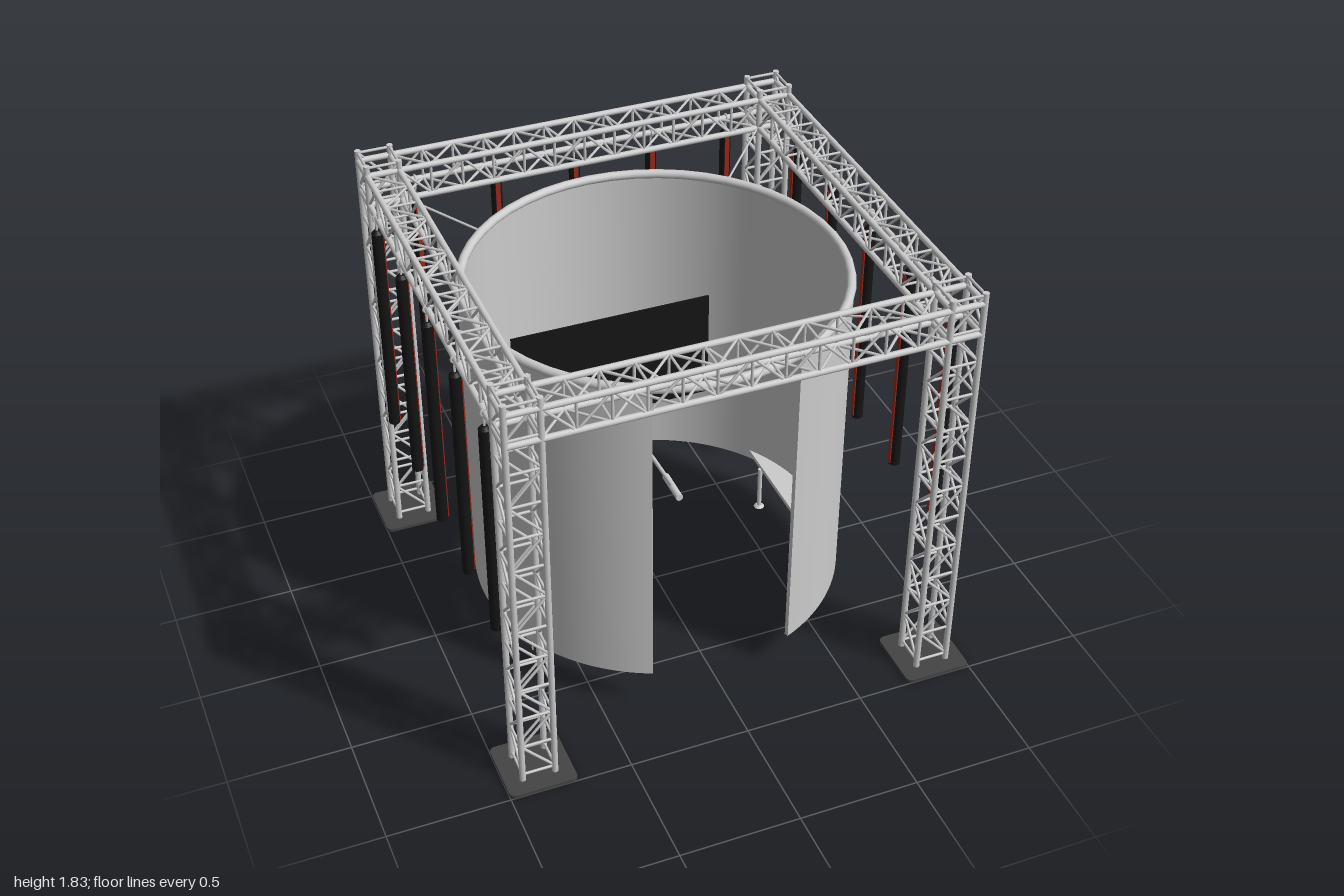
import * as THREE from 'three';
import { mergeGeometries, toCreasedNormals } from 'three/addons/utils/BufferGeometryUtils.js';

const V = (x, y, z) => new THREE.Vector3(x, y, z);
const grey = new THREE.MeshStandardMaterial({ color: 0xcccccc });
const paint = (color) => new THREE.MeshStandardMaterial({ color });
const dark = paint(0x444444), black = paint(0x151515), red = paint(0x9a2a1c);

function add(parent, name, geometry, material = grey, x = 0, y = 0, z = 0) {
  const mesh = new THREE.Mesh(geometry, material);
  mesh.name = name;
  mesh.position.set(x, y, z);
  parent.add(mesh);
  return mesh;
}

// Straight round bar between two points
function rod(a, b, r, sides = 6) {
  const d = b.clone().sub(a);
  const g = new THREE.CylinderGeometry(r, r, d.length(), sides);
  g.applyQuaternion(new THREE.Quaternion().setFromUnitVectors(V(0, 1, 0), d.normalize()));
  const m = a.clone().add(b).multiplyScalar(0.5);
  return g.translate(m.x, m.y, m.z);
}

// Four-chord lattice truss standing on the origin along +y
function truss(length, half, cells, start, end) {
  const parts = [];
  const corners = [[-1, -1], [1, -1], [1, 1], [-1, 1]].map(([x, z]) => [x * half, z * half]);
  const step = (end - start) / cells;
  corners.forEach(([x, z], i) => {
    const [u, w] = corners[(i + 1) % 4];
    parts.push(rod(V(x, 0, z), V(x, length, z), 0.013, 12));
    for (let k = 0; k <= cells; k++) {
      const y = start + k * step;
      parts.push(rod(V(x, y, z), V(u, y, w), 0.006));
      if (k === cells) continue;
      // Diagonals zigzag along each face
      const [p, q] = k % 2 ? [y + step, y] : [y, y + step];
      parts.push(rod(V(x, p, z), V(u, q, w), 0.006));
    }
  });
  return mergeGeometries(parts);
}

// Flat shape drawn in x / -z, raised upward by a height
function slab(shape, height, curveSegments = 12) {
  const g = new THREE.ExtrudeGeometry(shape, { depth: height, bevelEnabled: false, curveSegments });
  return toCreasedNormals(g.rotateX(-Math.PI / 2), 0.6);
}

function roundedRect(w, d, r) {
  const s = new THREE.Shape();
  const x = w / 2 - r, y = d / 2 - r;
  s.absarc(x, y, r, 0, Math.PI / 2);
  s.absarc(-x, y, r, Math.PI / 2, Math.PI);
  s.absarc(-x, -y, r, Math.PI, Math.PI * 1.5);
  s.absarc(x, -y, r, Math.PI * 1.5, Math.PI * 2);
  return s;
}

function buildFrame() {
  const frame = new THREE.Group();
  frame.name = 'trussFrame';
  const column = truss(1.82, 0.067, 12, 0.03, 1.81);
  const beam = truss(1.86, 0.067, 12, 0.135, 1.725).translate(0, -0.93, 0);
  const plate = slab(roundedRect(0.28, 0.28, 0.025), 0.014);
  for (const x of [-0.86, 0.86]) for (const z of [-0.86, 0.86]) {
    add(frame, 'basePlate', plate, dark, x, 0, z);
    add(frame, 'column', column, grey, x, 0.012, z);
    // Diagonal stay from the corner to the curtain ring
    const sx = Math.sign(x), sz = Math.sign(z);
    add(frame, 'ringStay', rod(V(sx * 0.77, 1.655, sz * 0.77), V(sx * 0.54, 1.585, sz * 0.54), 0.005));
  }
  for (const s of [-0.86, 0.86]) {
    add(frame, 'crossBeam', beam, grey, 0, 1.718, s).rotation.z = Math.PI / 2;
    add(frame, 'sideBeam', beam, grey, s, 1.718, 0).rotation.x = Math.PI / 2;
  }
  return frame;
}

function buildCurtain() {
  const curtain = new THREE.Group();
  curtain.name = 'curtain';
  // Circular wall with a doorway facing the front
  const gap = Math.asin(0.297 / 0.775), a = -Math.PI / 2 + gap, b = Math.PI * 1.5 - gap;
  const wall = new THREE.Shape();
  wall.absarc(0, 0, 0.777, a, b, false);
  wall.absarc(0, 0, 0.76, b, a, true);
  add(curtain, 'curtainWall', slab(wall, 1.405, 72), grey, 0, 0.17, 0);
  add(curtain, 'curtainRing', new THREE.TorusGeometry(0.766, 0.019, 12, 48), grey, 0, 1.58, 0).rotation.x = Math.PI / 2;
  return curtain;
}

// Hanging tube with a red strip on its +z side
function buildTube() {
  const tube = new THREE.Group();
  tube.name = 'hangingTube';
  add(tube, 'tubeBody', new THREE.CylinderGeometry(0.024, 0.024, 0.95, 16), black, 0, 1.105, 0);
  add(tube, 'tubeCap', new THREE.CylinderGeometry(0.012, 0.024, 0.015, 16), black, 0, 1.587, 0);
  add(tube, 'redStrip', new THREE.BoxGeometry(0.02, 0.93, 0.006), red, 0, 1.105, 0.023);
  add(tube, 'hangerRod', rod(V(0, 1.59, 0), V(0, 1.65, 0), 0.005));
  add(tube, 'hangerClamp', new THREE.TorusGeometry(0.016, 0.005, 6, 12), grey, 0, 1.65, 0.005).rotation.y = Math.PI / 2;
  return tube;
}

function buildTubes() {
  const tubes = new THREE.Group();
  tubes.name = 'hangingTubes';
  for (let i = -2; i <= 2; i++) {
    const t = i * 0.349;
    for (const [x, z, turn] of [[t, -0.933, 0], [-0.932, t + 0.01, Math.PI / 2], [0.932, t + 0.01, -Math.PI / 2]]) {
      const tube = buildTube();
      tube.position.set(x, 0, z);
      tube.rotation.y = turn;
      tubes.add(tube);
    }
  }
  return tubes;
}

function buildScreen() {
  const stand = new THREE.Group();
  stand.name = 'screenStand';
  add(stand, 'screen', new THREE.BoxGeometry(0.9, 0.506, 0.008), black, 0, 0.797, -0.509);
  add(stand, 'bracket', new THREE.BoxGeometry(0.23, 0.22, 0.016), grey, 0, 0.8, -0.526);
  for (const s of [-1, 1]) {
    const path = [[0.293, 0.03], [0.2, 0.215], [0.13, 0.35], [0.107, 0.45], [0.105, 0.56], [0.105, 0.85]];
    const curve = new THREE.CatmullRomCurve3(path.map(([x, y]) => V(s * x, y, -0.525)));
    add(stand, 'standLeg', new THREE.TubeGeometry(curve, 32, 0.01, 10), grey);
    add(stand, 'standFoot', rod(V(s * 0.292, 0.028, -0.605), V(s * 0.292, 0.028, -0.435), 0.017, 16));
  }
  return stand;
}

function buildTable() {
  const table = new THREE.Group();
  table.name = 'table';
  add(table, 'tableTop', slab(roundedRect(0.265, 0.53, 0.015), 0.01), grey, -0.54, 0.283, -0.018);
  for (const z of [-0.272, 0.243]) {
    for (const x of [-0.65, -0.435]) add(table, 'tableLeg', rod(V(x, 0.008, z), V(x, 0.285, z), 0.004, 8));
    add(table, 'tableCrossbar', rod(V(-0.65, 0.085, z), V(-0.435, 0.085, z), 0.0035, 8));
  }
  return table;
}

function buildBench() {
  const bench = new THREE.Group();
  bench.name = 'curvedBench';
  // Seat is a circle segment following the wall
  const a = Math.atan2(0.4, 0.592);
  const seat = new THREE.Shape();
  seat.absarc(0.005, 0, 0.715, -a, a, false);
  add(bench, 'benchSeat', slab(seat, 0.02, 32), grey, 0.02, 0.215, 0);
  for (const [x, z] of [[0.615, -0.273], [0.69, 0], [0.615, 0.273]]) {
    add(bench, 'benchLeg', rod(V(x, 0.01, z), V(x, 0.22, z), 0.01, 12));
    add(bench, 'benchFoot', new THREE.CylinderGeometry(0.015, 0.024, 0.01, 16), grey, x, 0.012, z);
  }
  return bench;
}

export function createModel() {
  const model = new THREE.Group();
  model.name = 'curtainedBooth';
  model.add(buildFrame(), buildCurtain(), buildTubes(), buildScreen(), buildTable(), buildBench());
  return model;
}
